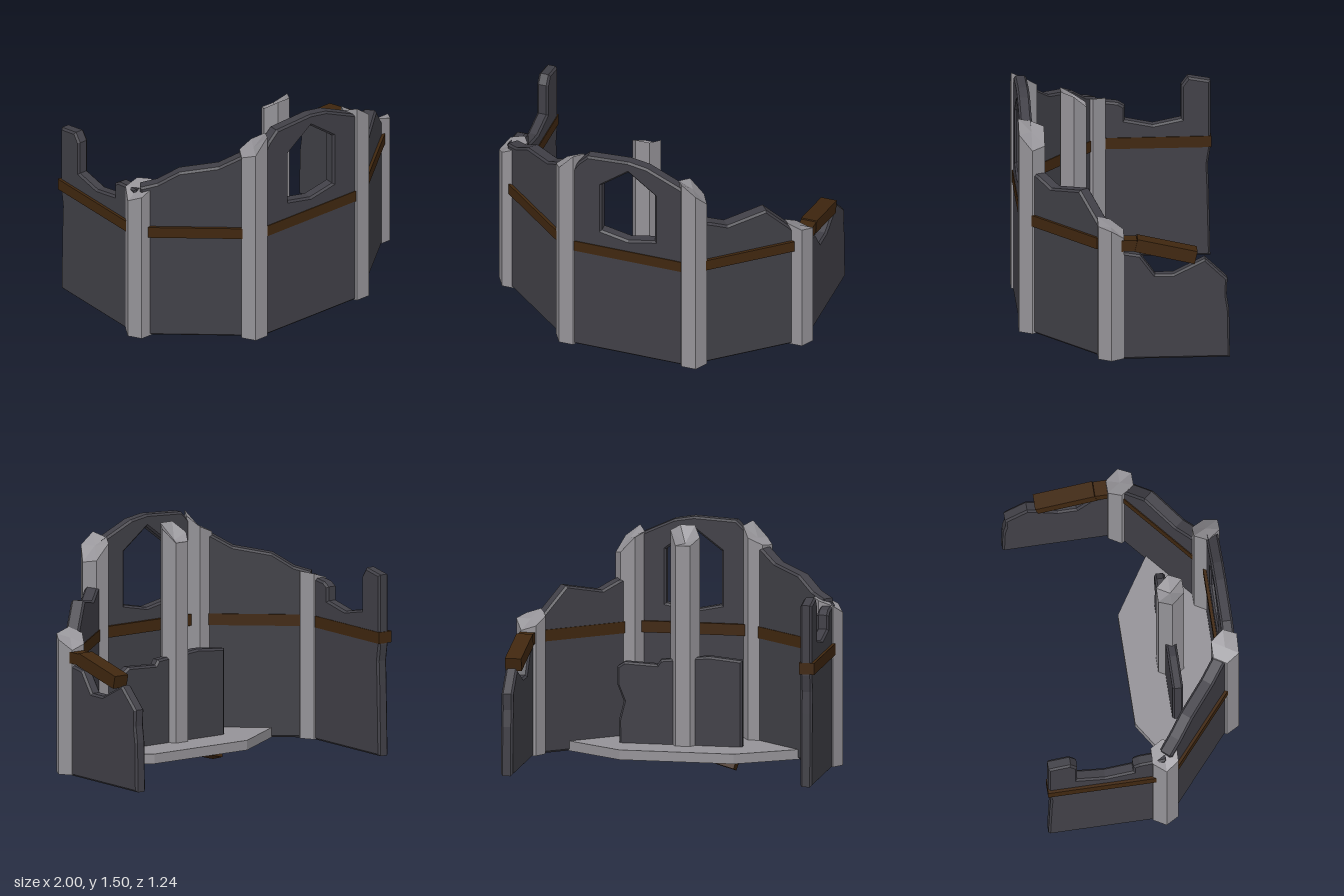
import * as THREE from 'three';

export function createModel() {
  const model = new THREE.Group();
  model.name = 'ruinedTower';

  const wallMat = new THREE.MeshStandardMaterial({ color: 0x414047 });
  wallMat.name = 'dark slate';
  const stoneMat = new THREE.MeshStandardMaterial({ color: 0x959398 });
  stoneMat.name = 'pale stone';
  const woodMat = new THREE.MeshStandardMaterial({ color: 0x40270f });
  woodMat.name = 'dark wood';

  const BASE = 0.105;

  function add(parent, name, geometry, material) {
    const mesh = new THREE.Mesh(geometry, material);
    mesh.name = name;
    parent.add(mesh);
    return mesh;
  }

  function polygon(points, Type = THREE.Shape) {
    return new Type(points.map(([x, y]) => new THREE.Vector2(x, y)));
  }

  // Hexagonal pillar whose broken top has one height per corner, starting at +x and turning to the front
  function pillar(name, x, z, heights, centre) {
    const geo = new THREE.CylinderGeometry(0.09, 0.09, 1, 6, 1, false, Math.PI / 2);
    const pos = geo.attributes.position;
    for (let i = 0; i < pos.count; i++) {
      const px = pos.getX(i), pz = pos.getZ(i);
      if (pos.getY(i) < 0) {
        pos.setY(i, BASE);
      } else if (Math.hypot(px, pz) < 0.01) {
        pos.setY(i, centre);
      } else {
        const k = (Math.round(Math.atan2(pz, px) / (Math.PI / 3)) + 6) % 6;
        pos.setY(i, heights[k]);
      }
    }
    const flat = geo.toNonIndexed();
    flat.computeVertexNormals();
    add(model, name, flat, stoneMat).position.set(x, 0, z);
  }

  // Group whose local x runs from a to b and whose local z points outward
  function section(name, a, b) {
    const group = new THREE.Group();
    group.name = name;
    group.position.set(a[0], 0, a[1]);
    group.rotation.y = Math.atan2(a[1] - b[1], b[0] - a[0]);
    model.add(group);
    return group;
  }

  // Upright slab with a broken outline and lightly bevelled rim
  function wall(group, name, outline, thickness, offset = 0, hole = null) {
    const shape = polygon(outline);
    if (hole) shape.holes.push(polygon(hole, THREE.Path));
    const bevel = 0.012;
    const geo = new THREE.ExtrudeGeometry(shape, {
      depth: thickness - 2 * bevel, bevelEnabled: true, bevelSegments: 1,
      bevelThickness: bevel, bevelSize: bevel, bevelOffset: -bevel,
    });
    geo.translate(0, 0, offset - thickness / 2 + bevel);
    add(group, name, geo, wallMat);
  }

  function beam(group, from, to, thickness, offset) {
    const geo = new THREE.BoxGeometry(to - from, 0.07, thickness);
    add(group, 'beam', geo, woodMat).position.set((from + to) / 2, 0.825, offset);
  }

  // Pillars
  pillar('frontRightPillar', -0.39, 0.54, [1.46, 1.48, 1.38, 1.35, 1.36, 1.40], 1.39);
  pillar('frontLeftPillar', 0.39, 0.54, [1.27, 1.36, 1.43, 1.40, 1.38, 1.285], 1.36);
  pillar('sideRightPillar', -0.91, 0.095, [1.13, 1.12, 1.08, 1.04, 1.09, 1.12], 1.10);
  pillar('sideLeftPillar', 0.91, 0.095, [0.93, 0.95, 0.98, 0.95, 0.9, 0.87], 0.93);
  pillar('centrePillar', 0, 0.265, [1.47, 1.49, 1.49, 1.43, 1.39, 1.39], 1.39);

  // Front wall with a pointed window
  const front = section('frontSection', [-0.39, 0.54], [0.39, 0.54]);
  wall(front, 'frontWall', [
    [0, BASE], [0.78, BASE], [0.78, 1.34], [0.73, 1.385], [0.51, 1.485], [0.39, 1.505],
    [0.13, 1.49], [0.07, 1.43], [0, 1.32],
  ], 0.076, 0.029, [
    [0.22, 0.97], [0.22, 1.3], [0.39, 1.43], [0.56, 1.3], [0.56, 0.97], [0.39, 0.935],
  ]);
  beam(front, 0.04, 0.74, 0.1, 0.022);

  // Angled walls
  const angledRight = section('angledRightSection', [-0.91, 0.1], [-0.39, 0.54]);
  wall(angledRight, 'angledRightWall', [
    [0, BASE], [0.681, BASE], [0.681, 1.36], [0.6, 1.34], [0.472, 1.27], [0.236, 1.23],
    [0.105, 1.15], [0, 1.12],
  ], 0.085);
  beam(angledRight, 0.05, 0.63, 0.108, 0.006);

  const angledLeft = section('angledLeftSection', [0.39, 0.54], [0.91, 0.1]);
  wall(angledLeft, 'angledLeftWall', [
    [0, BASE], [0.681, BASE], [0.681, 0.92], [0.63, 0.94], [0.459, 1.115], [0.21, 1.065],
    [0.105, 1.11], [0, 1.14],
  ], 0.085);
  beam(angledLeft, 0.05, 0.63, 0.108, 0.006);

  // Side wall with a tall surviving end
  const sideRight = section('sideRightSection', [-0.914, -0.62], [-0.914, 0.1]);
  wall(sideRight, 'sideRightWall', [
    [0.005, 0.1], [0.72, 0.1], [0.72, 1.1], [0.56, 1.08], [0.52, 1.055], [0.52, 0.97],
    [0.35, 0.935], [0.18, 0.97], [0.18, 1.18], [0.14, 1.235], [0.005, 1.21],
    [0.005, 0.78], [0.02, 0.68], [0.015, 0.55],
  ], 0.072);
  beam(sideRight, 0, 0.66, 0.094, 0.006);

  // Collapsed side wall and its snapped beam
  const sideLeft = section('sideLeftSection', [0.917, 0.1], [0.917, -0.62]);
  wall(sideLeft, 'sideLeftWall', [
    [0, 0.1], [0.72, 0.1], [0.715, 0.4], [0.7, 0.5], [0.705, 0.6], [0.57, 0.73],
    [0.38, 0.635], [0.27, 0.635], [0.18, 0.76], [0, 0.79],
  ], 0.072);
  beam(sideLeft, 0.04, 0.16, 0.094, 0);
  const hanging = add(model, 'hangingBeam', new THREE.BoxGeometry(0.1, 0.08, 0.37), woodMat);
  hanging.position.set(0.917, 0.785, -0.235);
  hanging.rotation.x = -0.23;

  // Low inner wall behind the window
  const inner = section('innerSection', [-0.355, 0.26], [0.41, 0.26]);
  wall(inner, 'innerWall', [
    [0, BASE], [0.75, BASE], [0.755, 0.3], [0.725, 0.42], [0.765, 0.52], [0.765, 0.63],
    [0.72, 0.66], [0.52, 0.65], [0.5, 0.68], [0.2, 0.71], [0, 0.69],
  ], 0.065);

  // Stone floor slab
  const floorGeo = new THREE.ExtrudeGeometry(polygon([
    [-0.35, 0], [0.35, 0], [0.72, 0.235], [0.7, 0.29], [0.37, 0.54],
    [-0.37, 0.54], [-0.7, 0.29], [-0.72, 0.235],
  ]), { depth: 0.06, bevelEnabled: false });
  floorGeo.rotateX(Math.PI / 2);
  add(model, 'floorSlab', floorGeo, stoneMat).position.y = BASE + 0.06;

  // Splintered beam jutting out below the floor
  const fallen = add(model, 'fallenBeam', new THREE.BoxGeometry(0.36, 0.08, 0.095), woodMat);
  fallen.position.set(-0.147, 0.106, 0.265);
  fallen.rotation.set(0.28, 0, 0.27);

  return model;
}
